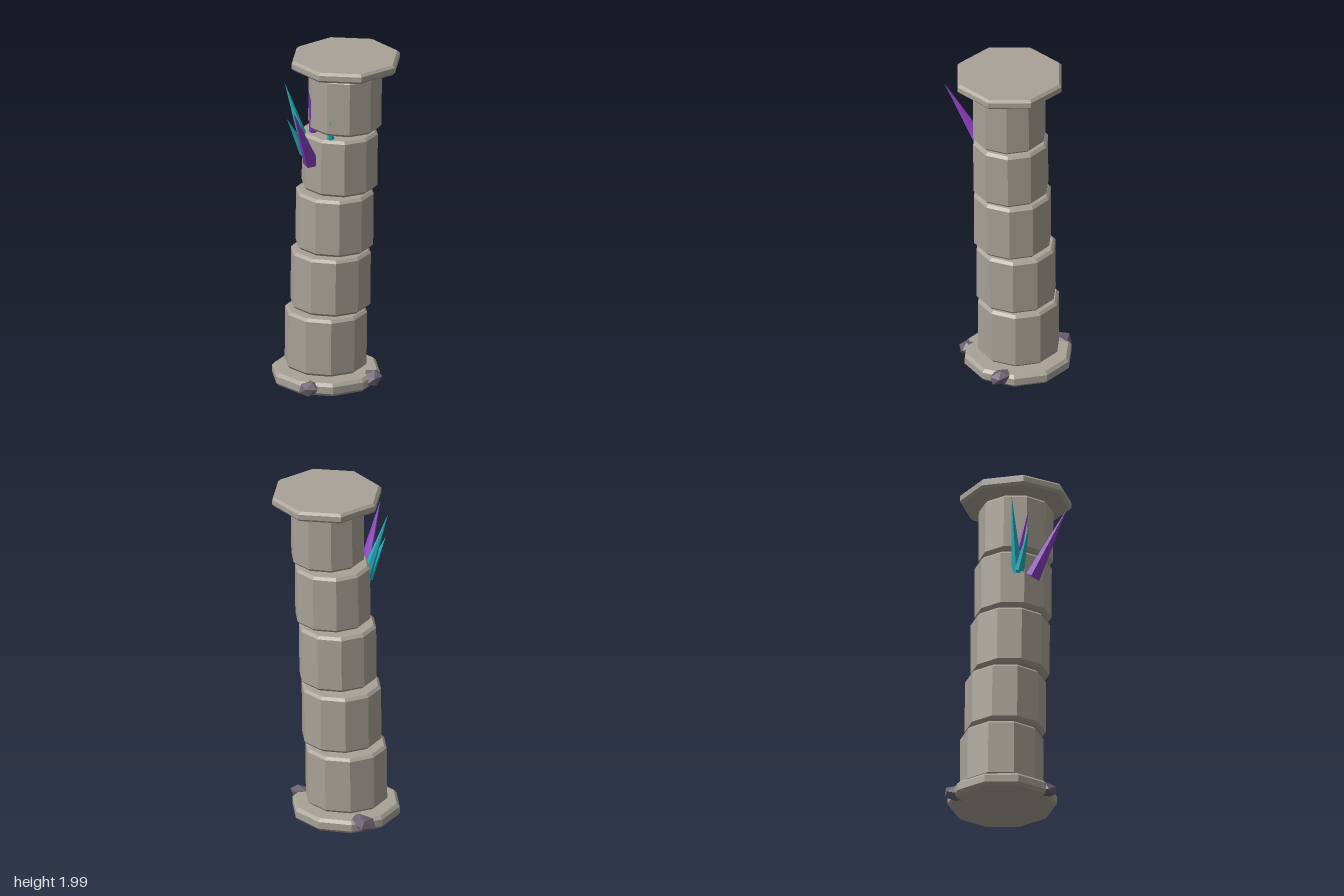
import * as THREE from 'three';

const material = (color) => new THREE.MeshStandardMaterial({ color, flatShading: true });

export function createModel() {
  const model = new THREE.Group();
  const stone = material(0xa8a297);
  const rubble = material(0x6b6270);
  const purple = material(0x8a3fc0);
  const cyan = material(0x22b0bc);

  function add(name, geometry, mat, x, y, z) {
    const mesh = new THREE.Mesh(geometry, mat);
    mesh.name = name;
    mesh.position.set(x, y, z);
    model.add(mesh);
    return mesh;
  }

  // Many-sided stone block with chamfered rims, centred on its own origin
  function block(name, r, y0, y1, x, z, sides, chamfer) {
    const h = (y1 - y0) / 2;
    const profile = [
      [0, -h], [r - chamfer, -h], [r, -h + chamfer],
      [r, h - chamfer], [r - chamfer, h], [0, h],
    ].map(([a, b]) => new THREE.Vector2(a, b));
    return add(name, new THREE.LatheGeometry(profile, sides), stone, x, (y0 + y1) / 2, z);
  }

  // Base and capital
  block('base', 0.312, 0.015, 0.092, -0.075, -0.06, 10, 0.018);
  block('capital', 0.32, 1.94, 2.0, 0.053, -0.06, 8, 0.015);

  // Leaning stack of separate drums: radius, bottom, top, x, z
  [
    [0.237, 0.106, 0.45, -0.077, -0.062],
    [0.231, 0.475, 0.818, -0.045, -0.06],
    [0.225, 0.845, 1.187, -0.014, -0.05],
    [0.219, 1.212, 1.553, 0.018, -0.053],
    [0.212, 1.58, 1.92, 0.05, -0.057],
  ].forEach(([r, y0, y1, x, z], i) => {
    const drum = block('drum' + (i + 1), r, y0, y1, x, z, 10, 0.016);
    drum.rotation.z = -0.012;
  });

  // Broken chunk wedged below the capital
  const wedge = add('wedgeStone', new THREE.CylinderGeometry(0.15, 0.14, 0.025, 7), rubble, 0.1, 1.925, -0.06);
  wedge.rotation.z = -0.07;

  // Rubble around the base: position, size, turn
  [
    [-0.03, 0.055, 0.225, 0.065, 0.045, 0.06, 0.3],
    [0.215, 0.066, -0.07, 0.065, 0.045, 0.068, 0.9],
    [-0.285, 0.06, -0.225, 0.085, 0.05, 0.08, 0.5],
    [0.2, 0.06, 0.085, 0.05, 0.04, 0.05, 1.4],
  ].slice(0, 3).forEach(([x, y, z, sx, sy, sz, turn], i) => {
    const rock = add('rubble' + (i + 1), new THREE.IcosahedronGeometry(1, 0), rubble, x, y, z);
    rock.scale.set(sx, sy, sz);
    rock.rotation.set(0.25, turn, 0.2);
  });

  // Crystal shards growing from the upper drums: root, tip, radius
  const up = new THREE.Vector3(0, 1, 0);
  [
    ['purpleCrystal', purple, [-0.06, 1.4, 0.145], [-0.04, 1.778, 0.38], 0.044],
    ['purpleCrystal', purple, [-0.095, 1.45, 0.04], [-0.08, 1.83, 0.135], 0.032],
    ['cyanCrystal', cyan, [-0.115, 1.42, 0.075], [-0.24, 1.85, 0.13], 0.036],
    ['cyanCrystal', cyan, [-0.125, 1.43, 0.1], [-0.18, 1.665, 0.21], 0.03],
    ['cyanCrystal', cyan, [0.035, 1.43, 0.08], [0.07, 1.675, 0.153], 0.045],
  ].forEach(([name, mat, root, tip, r], i) => {
    const a = new THREE.Vector3(...root);
    const b = new THREE.Vector3(...tip);
    const axis = b.clone().sub(a);
    const mid = a.add(b).multiplyScalar(0.5);
    const shard = add(name + (i + 1), new THREE.ConeGeometry(r, axis.length(), 6), mat, mid.x, mid.y, mid.z);
    shard.quaternion.setFromUnitVectors(up, axis.normalize());
  });

  return model;
}
